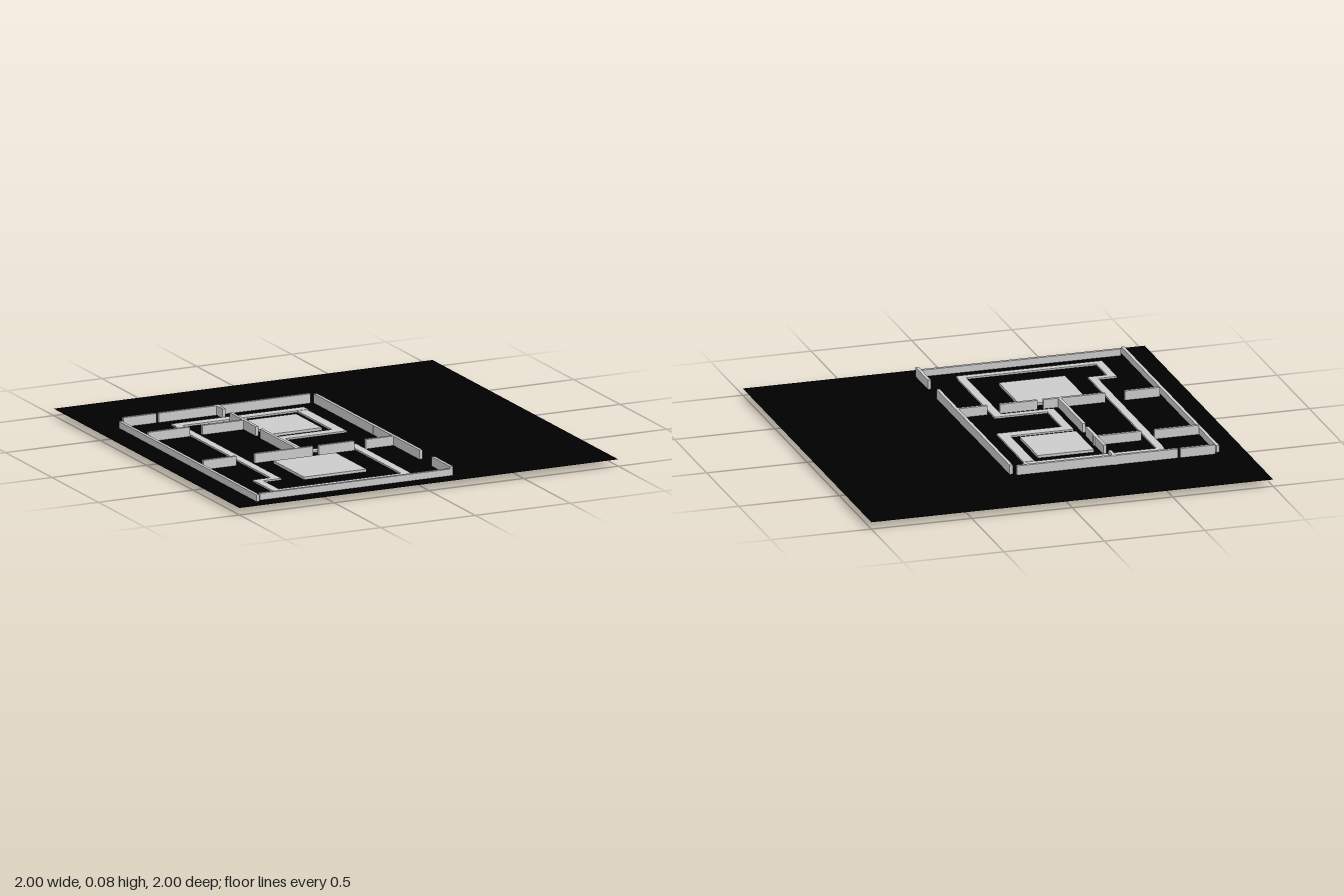
import * as THREE from 'three';

export function createModel() {
  const model = new THREE.Group();
  const grey = new THREE.MeshStandardMaterial({ color: 0xcccccc, flatShading: true });
  const black = new THREE.MeshStandardMaterial({ color: 0x000000, side: THREE.DoubleSide });

  // Box between two floor-plan corners and two heights
  function block(parent, name, [x0, x1, z0, z1], y0, y1) {
    const mesh = new THREE.Mesh(new THREE.BoxGeometry(x1 - x0, y1 - y0, z1 - z0), grey);
    mesh.position.set((x0 + x1) / 2, (y0 + y1) / 2, (z0 + z1) / 2);
    mesh.name = name;
    parent.add(mesh);
  }
  function group(name) {
    const g = new THREE.Group();
    g.name = name;
    model.add(g);
    return g;
  }

  // Thin ground sheet
  const ground = new THREE.Mesh(new THREE.PlaneGeometry(2, 2), black);
  ground.rotation.x = -Math.PI / 2;
  ground.position.y = 0.034;
  ground.name = 'groundSheet';
  model.add(ground);

  const T = 0.016; // wall thickness
  const alongX = (z, x0, x1) => [x0, x1, z - T / 2, z + T / 2];
  const alongZ = (x, z0, z1) => [x - T / 2, x + T / 2, z0, z1];

  // Outer walls, lower on the right and front sides
  const outer = group('outerWalls');
  block(outer, 'sideWallLow', alongZ(-0.869, -0.55, 0.93), 0.03, 0.067);
  block(outer, 'frontWallLow', alongX(0.908, -0.85, 0.168), 0.03, 0.067);
  [
    alongX(-0.563, -0.85, -0.675), alongX(-0.563, -0.663, 0.137),
    alongZ(0.16, -0.55, 0.09), alongZ(0.161, 0.05, 0.585), alongZ(0.16, 0.72, 0.915),
  ].forEach((r) => block(outer, 'outerWall', r, 0.03, 0.08));

  // Room partitions with door gaps
  const inner = group('partitions');
  [
    alongX(-0.273, -0.86, -0.64), alongX(-0.273, -0.575, -0.335),
    alongZ(-0.35, -0.575, -0.49), alongZ(-0.35, -0.415, -0.135), alongZ(-0.35, -0.09, 0.295),
    alongX(0.297, -0.85, -0.675), alongX(0.297, -0.577, -0.27),
    alongX(0.297, -0.24, -0.053), alongX(0.297, 0.01, 0.165),
  ].forEach((r) => block(inner, 'partition', r, 0.03, 0.08));

  // Closed loop of low path strips
  const path = group('pathLoop');
  [
    [-0.635, 0.065, -0.48, -0.43], [0.005, 0.058, -0.425, -0.053],
    [-0.31, 0.058, -0.053, 0], [-0.31, -0.267, 0, 0.222],
    [-0.31, -0.005, 0.222, 0.26], [-0.048, -0.005, 0.26, 0.8],
    [-0.735, -0.008, 0.8, 0.837], [-0.735, -0.695, 0.635, 0.8],
    [-0.735, -0.6, 0.6, 0.635], [-0.64, -0.6, -0.43, 0.6],
  ].forEach((r) => block(path, 'pathStrip', r, 0.035, 0.043));

  // Two thick slabs passing through the ground sheet
  block(model, 'backSlab', [-0.31, -0.03, -0.37, -0.09], 0, 0.047);
  block(model, 'frontSlab', [-0.5, -0.17, 0.345, 0.675], 0, 0.047);

  return model;
}
